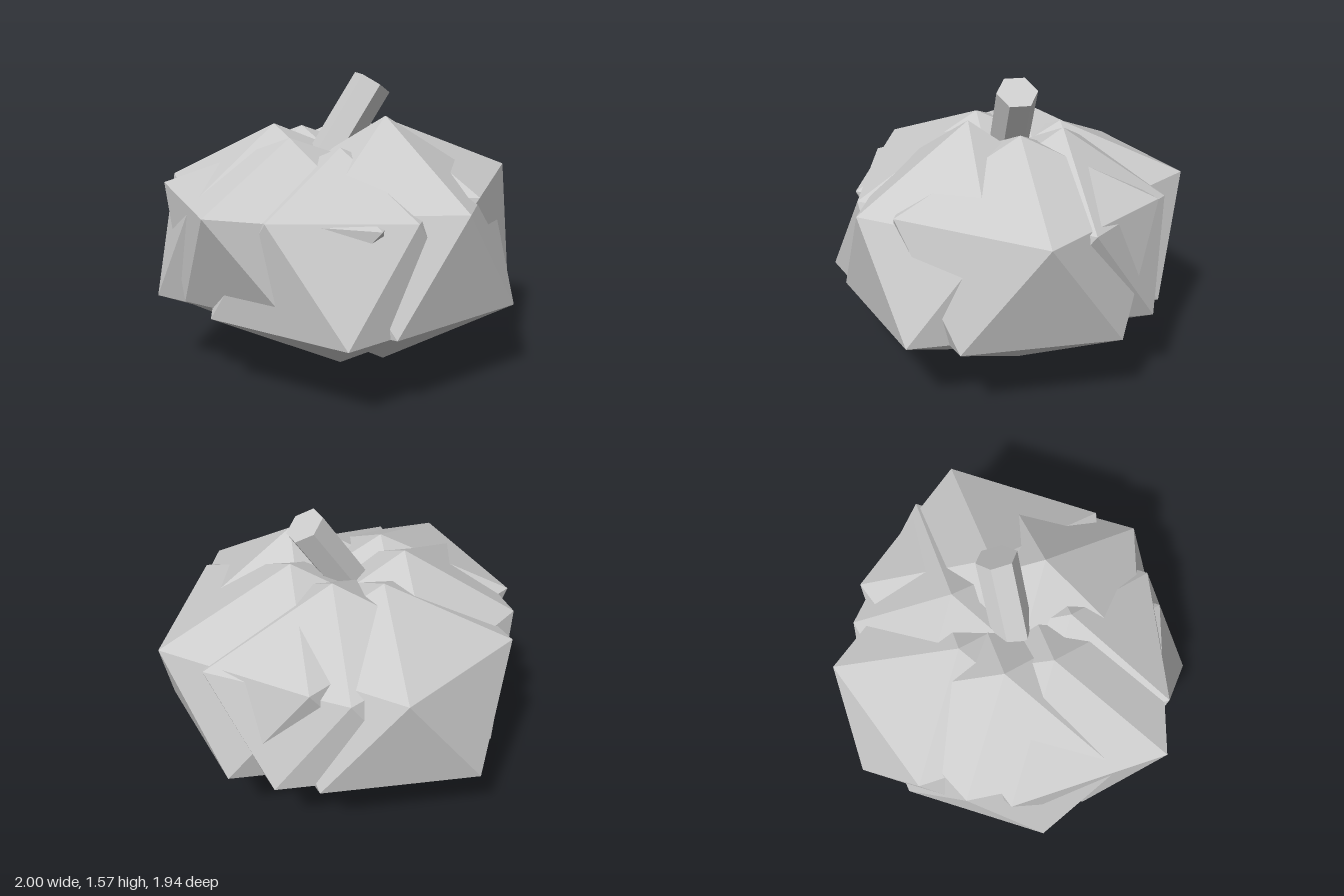
import * as THREE from 'three';

// One faceted lobe: two poles and two five-point rings, the lower turned by 36 degrees.
// "moved" replaces single upper ring corners with exact positions.
function lobeGeometry({ x, z, top, bottom, ru, rl, yu = 1.0, yl = 0.42, moved = {} }) {
  const ring = (r, y, turn) => Array.from({ length: 5 }, (_, k) => {
    const a = (k + turn) * Math.PI * 2 / 5;
    return [x + r * Math.cos(a), y, z + r * Math.sin(a)];
  });
  const u = ring(ru, yu, 0), l = ring(rl, yl, 0.5);
  for (const k in moved) u[k] = moved[k];
  const t = [x, top, z], b = [x, bottom, z], p = [];
  for (let k = 0; k < 5; k++) {
    const n = (k + 1) % 5;
    p.push(t, u[n], u[k], u[k], u[n], l[k], u[n], l[n], l[k], l[k], l[n], b);
  }
  const g = new THREE.BufferGeometry();
  g.setAttribute('position', new THREE.Float32BufferAttribute(p.flat(), 3));
  g.computeVertexNormals();
  return g;
}

export function createModel() {
  const group = new THREE.Group();
  const grey = new THREE.MeshStandardMaterial({ color: 0xcccccc, flatShading: true });
  grey.name = 'light grey';

  // Seven overlapping lobes arranged in a ring
  const lobes = {
    leftLobe: { x: 0.265, z: 0, top: 1.32, bottom: 0.03, ru: 0.71, rl: 0.695, yu: 1.01, yl: 0.41,
      moved: { 0: [1.0, 1.015, 0] } },
    frontLeftLobe: { x: 0.15, z: 0.25, top: 1.38, bottom: 0.035, ru: 0.63, rl: 0.70, yu: 0.975, yl: 0.41 },
    frontRightLobe: { x: -0.12, z: 0.3, top: 1.24, bottom: 0.07, ru: 0.6, rl: 0.70, yu: 0.96, yl: 0.41,
      moved: { 1: [0.08, 0.95, 0.83], 2: [-0.64, 0.98, 0.67] } },
    rightFrontLobe: { x: -0.335, z: 0.13, top: 1.275, bottom: 0.15, ru: 0.71, rl: 0.575, yl: 0.46,
      moved: { 1: [-0.11, 0.93, 0.83] } },
    rightBackLobe: { x: -0.335, z: -0.13, top: 1.31, bottom: 0.15, ru: 0.70, rl: 0.665,
      moved: { 3: [-0.81, 1.0, -0.49] } },
    backRightLobe: { x: -0.12, z: -0.3, top: 1.26, bottom: 0.0, ru: 0.67, rl: 0.71, yu: 0.99, yl: 0.41 },
    backLeftLobe: { x: 0.15, z: -0.25, top: 1.31, bottom: 0.12, ru: 0.66, rl: 0.63, yl: 0.44,
      moved: { 0: [0.86, 1.0, -0.25], 4: [0.31, 0.95, -0.77] } },
  };
  for (const [name, spec] of Object.entries(lobes)) {
    const lobe = new THREE.Mesh(lobeGeometry(spec), grey);
    lobe.name = name;
    group.add(lobe);
  }

  // Leaning six-sided stem
  const length = 0.6, lean = 0.585;
  const stem = new THREE.Mesh(new THREE.CylinderGeometry(0.108, 0.108, length, 6), grey);
  stem.name = 'stem';
  stem.rotation.z = -lean;
  stem.position.set(0.18 - Math.sin(lean) * length / 2, 1.522 - Math.cos(lean) * length / 2, 0);
  group.add(stem);
  return group;
}
